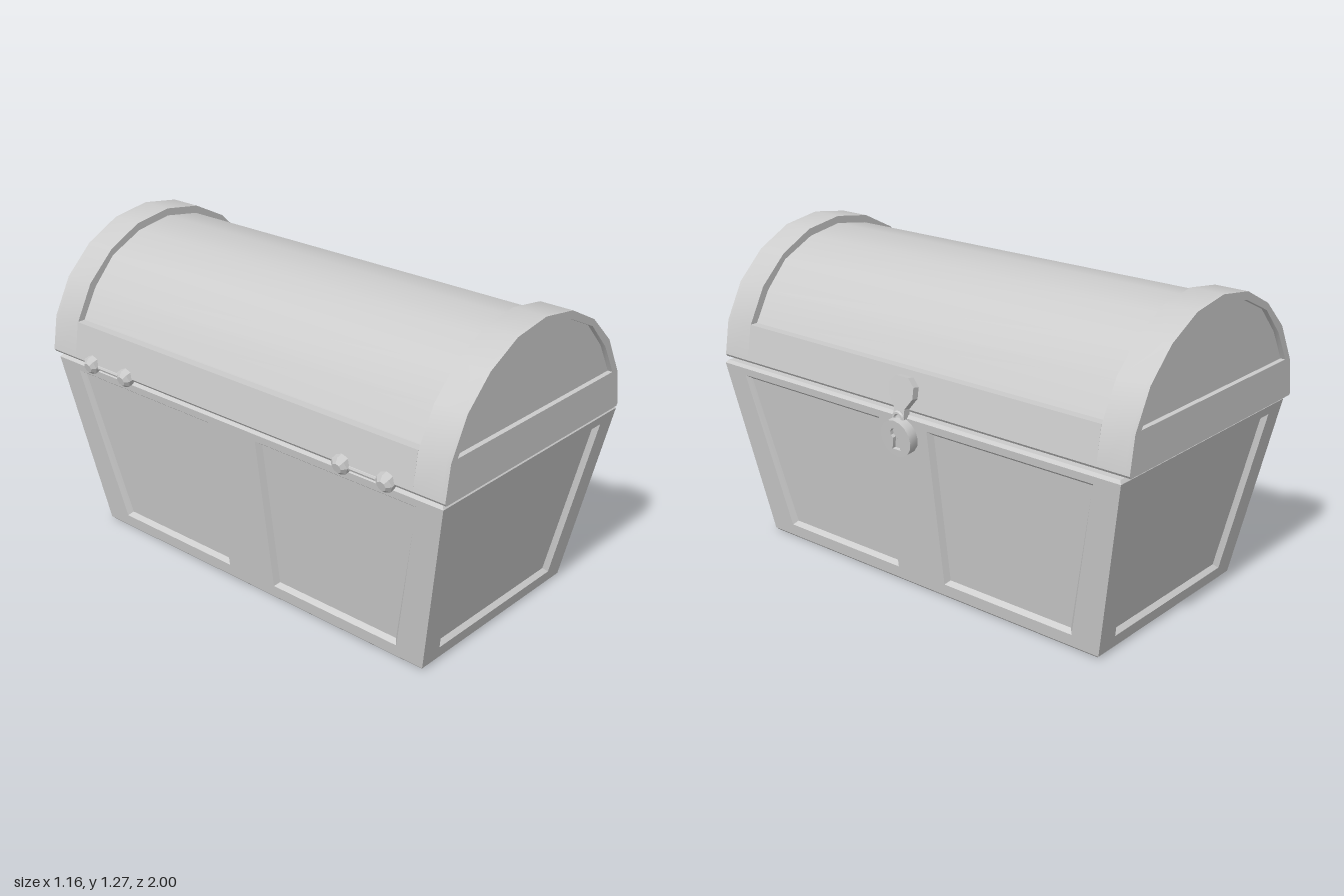
import * as THREE from 'three';
import { toCreasedNormals, mergeGeometries } from 'three/addons/utils/BufferGeometryUtils.js';

const material = new THREE.MeshStandardMaterial({ color: 0xcccccc });
const V2 = (p) => new THREE.Vector2(p[0], p[1]);

function mesh(name, geometry, crease = 0.5) {
  const m = new THREE.Mesh(toCreasedNormals(geometry, crease), material);
  m.name = name;
  return m;
}

// Closed outline from its right half, listed bottom to top
function mirrored(half) {
  const left = half.filter((p) => p[0] > 0).map(([x, y]) => [-x, y]).reverse();
  return [...half, ...left];
}

function extrude(points, depth, holes = []) {
  const shape = new THREE.Shape(points.map(V2));
  shape.holes = holes.map((h) => new THREE.Path(h.map(V2)));
  return new THREE.ExtrudeGeometry(shape, { depth, bevelEnabled: false });
}

// Box whose bottom and top rectangles differ (half widths)
function taperedBlock(y0, [x0, z0], y1, [x1, z1]) {
  const g = new THREE.BoxGeometry(2, 1, 2);
  const p = g.attributes.position;
  for (let i = 0; i < p.count; i++) {
    const top = p.getY(i) > 0;
    p.setXYZ(i, p.getX(i) * (top ? x1 : x0), top ? y1 : y0, p.getZ(i) * (top ? z1 : z0));
  }
  return g;
}

// Chest body measurements
const Y0 = 0.01, Y1 = 0.745;
const halfX = (y) => 0.437 + 0.098 * (y - Y0) / (Y1 - Y0);
const halfZ = (y) => 0.843 + 0.139 * (y - Y0) / (Y1 - Y0);

// Sloping wall facing +z with sunken, bevelled panels (corners counter-clockwise)
function wall(width, offset, panels) {
  const outline = [[-width(Y0), Y0], [width(Y0), Y0], [width(Y1), Y1], [-width(Y1), Y1]];
  const shape = new THREE.Shape(outline.map(V2));
  shape.holes = panels.map((p) => new THREE.Path(p.map(V2)));
  const face = new THREE.ShapeGeometry(shape).toNonIndexed();
  const pos = [...face.attributes.position.array];
  for (let i = 0; i < pos.length; i += 3) pos[i + 2] = offset(pos[i + 1]);

  const bevel = 0.016, depth = 0.02;
  for (const corners of panels) {
    const cx = corners.reduce((s, c) => s + c[0], 0) / 4;
    const cy = corners.reduce((s, c) => s + c[1], 0) / 4;
    const outer = corners.map(([x, y]) => [x, y, offset(y)]);
    const inner = corners.map(([x, y]) => {
      const v = y - Math.sign(y - cy) * bevel;
      return [x - Math.sign(x - cx) * bevel, v, offset(v) - depth];
    });
    const quad = (a, b, c, d) => pos.push(...a, ...b, ...c, ...a, ...c, ...d);
    for (let i = 0; i < 4; i++) {
      const j = (i + 1) % 4;
      quad(outer[i], outer[j], inner[j], inner[i]);
    }
    quad(...inner);
  }
  const g = new THREE.BufferGeometry();
  g.setAttribute('position', new THREE.Float32BufferAttribute(pos, 3));
  return g;
}

function createBody() {
  const body = new THREE.Group();
  body.name = 'chestBody';
  const endPanels = [[[-0.35, 0.06], [0.35, 0.06], [0.441, 0.708], [-0.441, 0.708]]];
  const sidePanels = [
    [[0.12, 0.06], [0.728, 0.06], [0.867, 0.715], [0.12, 0.715]],
    [[-0.728, 0.06], [-0.12, 0.06], [-0.12, 0.715], [-0.867, 0.715]],
  ];
  for (let k = 0; k < 4; k++) {
    const isEnd = k % 2 === 0;
    const w = mesh(isEnd ? 'endWall' : 'sideWall',
      isEnd ? wall(halfX, halfZ, endPanels) : wall(halfZ, halfX, sidePanels));
    w.rotation.y = k * Math.PI / 2;
    body.add(w);
  }
  // Chamfered floor and top rim
  const bottom = [halfX(Y0), halfZ(Y0)], top = [halfX(Y1), halfZ(Y1)];
  const inset = (s) => s.map((v) => v - 0.01);
  body.add(mesh('floor', taperedBlock(0, inset(bottom), Y0, bottom)));
  body.add(mesh('rim', taperedBlock(Y1, top, 0.757, inset(top))));
  body.position.set(-0.005, 0, 0.005);
  return body;
}

function createLid() {
  const lid = new THREE.Group();
  lid.name = 'lid';
  const base = [[0.525, 0.765], [0.532, 0.775]];
  const hoop = mirrored([...base, [0.508, 0.915], [0.43, 1.062], [0.312, 1.175], [0.165, 1.25], [0, 1.275]]);
  const arch = [[0.473, 0.92], [0.405, 1.042], [0.305, 1.15], [0.158, 1.22], [0, 1.245]];
  const endZ = 0.865, recess = 0.02;

  // Barrel sits back from the flush lower band
  const barrel = extrude(mirrored([...base, [0.508, 0.92], ...arch]), 2 * endZ);
  barrel.translate(0, 0, -endZ);
  lid.add(mesh('barrel', barrel));

  for (const side of [0, 1]) {
    const slab = extrude(hoop, 1 - recess - endZ).translate(0, 0, endZ);
    const frame = extrude(hoop, recess, [mirrored(arch)]).translate(0, 0, 1 - recess);
    const end = mesh('lidEnd', mergeGeometries([slab, frame]));
    end.rotation.y = side * Math.PI;
    lid.add(end);
  }
  lid.position.x = -0.017;
  return lid;
}

// Lock built facing +z around its own origin, then turned to the left side
function createLock() {
  const lock = new THREE.Group();
  lock.name = 'lock';

  const hasp = mesh('hasp', extrude(mirrored([
    [0.026, -0.115], [0.026, -0.065], [0.06, -0.02], [0.06, 0.024], [0.03, 0.054],
  ]), 0.03), 0.4);
  hasp.position.set(0, 0.843, 0.502);
  hasp.rotation.x = -0.16;
  lock.add(hasp);

  const staple = mesh('staple', new THREE.TorusGeometry(0.022, 0.008, 6, 12, Math.PI));
  staple.position.set(0, 0.745, 0.548);
  lock.add(staple);

  // Round padlock with keyhole
  const disc = [], keyhole = [[-0.02, -0.045], [0.02, -0.045], [0.01, 0.002]];
  for (let i = 0; i < 16; i++) {
    const a = i * Math.PI / 8;
    disc.push([0.075 * Math.cos(a), 0.075 * Math.sin(a)]);
  }
  for (let i = 0; i <= 8; i++) {
    const a = -1.1 + i * (Math.PI + 2.2) / 8;
    keyhole.push([0.023 * Math.cos(a), 0.02 + 0.023 * Math.sin(a)]);
  }
  keyhole.push([-0.01, 0.002]);
  const padlock = mesh('padlock', mergeGeometries([
    extrude(disc, 0.025), extrude(disc, 0.015, [keyhole]).translate(0, 0, 0.025),
  ]));
  padlock.position.set(0, 0.675, 0.527);
  padlock.rotation.x = 0.12;
  lock.add(padlock);

  lock.rotation.y = Math.PI / 2;
  lock.position.z = 0.003;
  return lock;
}

function createHinge(z) {
  const hinge = new THREE.Group();
  hinge.name = 'hinge';
  const pin = mesh('hingePin', new THREE.CylinderGeometry(0.011, 0.011, 0.2, 8));
  pin.rotation.x = Math.PI / 2;
  pin.position.x = 0.005;
  hinge.add(pin);
  for (const s of [-1, 1]) {
    const knob = mesh('hingeKnob', mergeGeometries([
      new THREE.CylinderGeometry(0.037, 0.037, 0.025, 8).translate(0, -0.0075, 0),
      new THREE.CylinderGeometry(0.02, 0.037, 0.014, 8).translate(0, 0.012, 0),
    ]), 0.3);
    knob.rotation.z = Math.PI / 2 + 0.25;
    knob.position.set(-0.008, 0.002, s * 0.099);
    hinge.add(knob);
  }
  hinge.position.set(-0.548, 0.768, z);
  return hinge;
}

export function createModel() {
  const chest = new THREE.Group();
  chest.name = 'chest';
  chest.add(createBody(), createLid(), createLock());
  for (const z of [-0.662, 0.652]) chest.add(createHinge(z));
  return chest;
}
